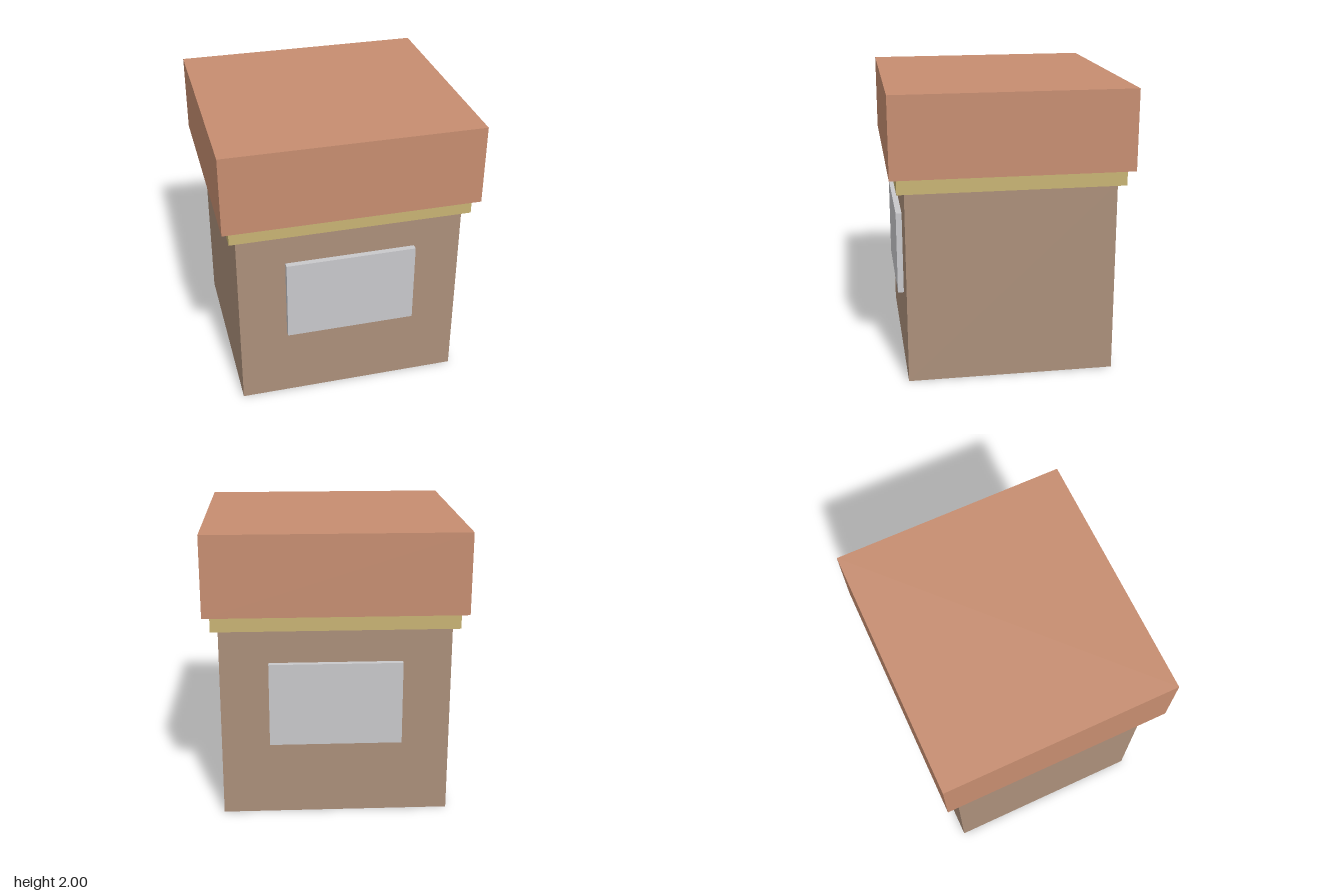
import * as THREE from 'three';

const material = (name, color) => {
  const m = new THREE.MeshStandardMaterial({ color });
  m.name = name;
  return m;
};

export function createModel() {
  const model = new THREE.Group();
  model.name = 'kiosk';

  const wallBrown = material('wallBrown', 0xab8f7a);
  const trimYellow = material('trimYellow', 0xc8b373);
  const roofTerracotta = material('roofTerracotta', 0xc68d70);
  const panelGrey = material('panelGrey', 0xc8c8cb);

  // Box given by its width, depth, bottom and top heights, and z centre
  const addBox = (name, mat, width, depth, bottom, top, z = 0) => {
    const mesh = new THREE.Mesh(new THREE.BoxGeometry(width, top - bottom, depth), mat);
    mesh.name = name;
    mesh.position.set(0, (bottom + top) / 2, z);
    model.add(mesh);
  };

  // Stacked body, trim band and overhanging roof block
  addBox('body', wallBrown, 1.564, 1.43, 0, 1.343);
  addBox('trimBand', trimYellow, 1.658, 1.532, 1.343, 1.45);
  addBox('roofBlock', roofTerracotta, 1.754, 1.626, 1.45, 2);

  // Raised panels on the front and back walls
  for (const side of [1, -1]) {
    addBox(side > 0 ? 'frontPanel' : 'backPanel', panelGrey, 0.905, 0.05, 0.525, 1.106, side * 0.731);
  }

  return model;
}
